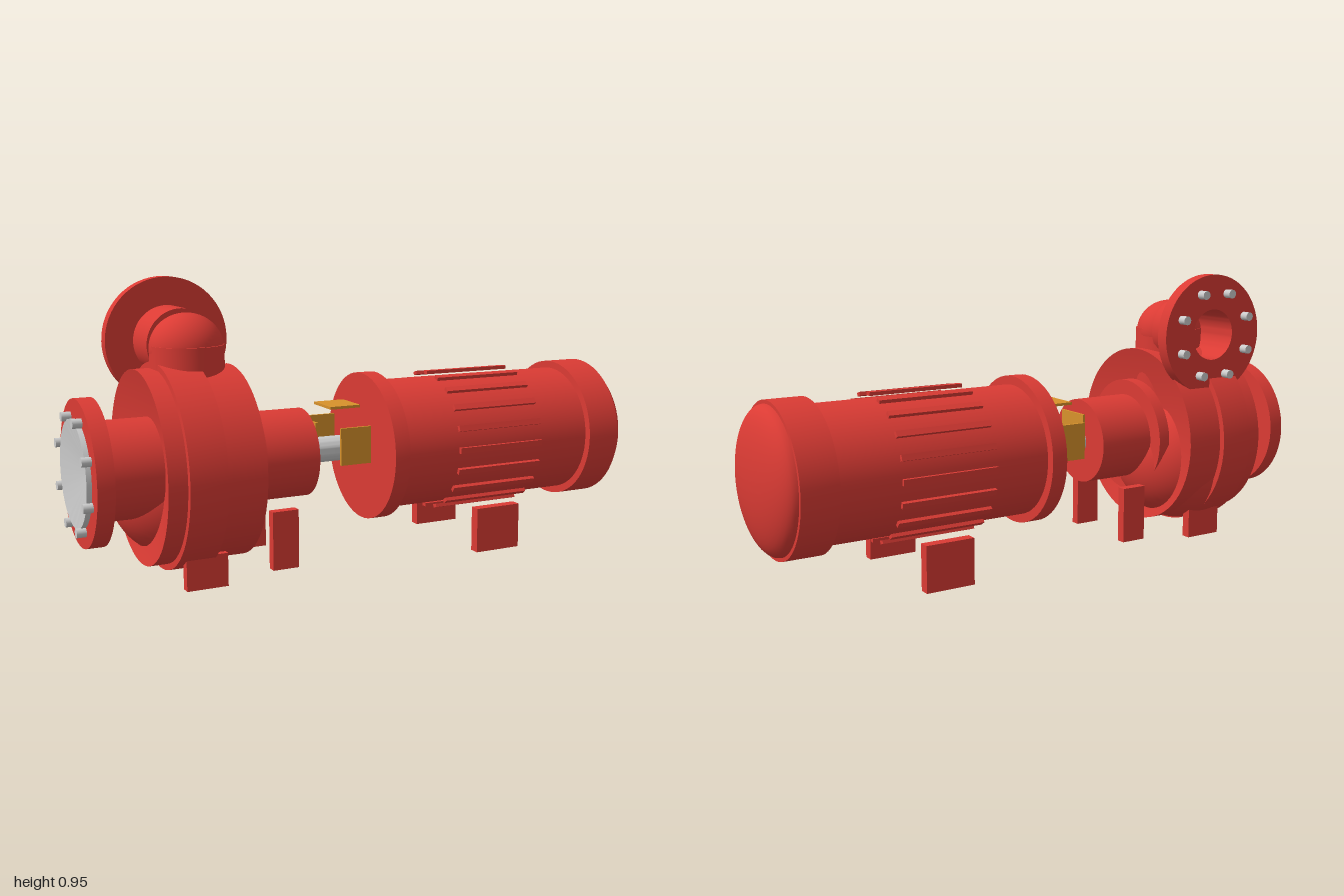
import * as THREE from 'three';
import { toCreasedNormals } from 'three/addons/utils/BufferGeometryUtils.js';

const AXIS = 0.37; // height of the shaft line
const PIPE_X = -0.61, PIPE_Y = 0.745;

export function createModel() {
  const model = new THREE.Group();
  model.name = 'motorPump';

  const paint = new THREE.MeshStandardMaterial({ color: 0xdb3b34, side: THREE.DoubleSide });
  paint.name = 'red paint';
  const steel = new THREE.MeshStandardMaterial({ color: 0xcccccc, side: THREE.DoubleSide });
  steel.name = 'bare steel';
  const yellow = new THREE.MeshStandardMaterial({ color: 0xd8922b, side: THREE.DoubleSide });
  yellow.name = 'guard yellow';

  function add(name, geometry, material, x = 0, y = 0, z = 0, parent = model) {
    const mesh = new THREE.Mesh(geometry, material);
    mesh.name = name;
    mesh.position.set(x, y, z);
    parent.add(mesh);
    return mesh;
  }
  // Box given by its limits on each axis
  function box(name, material, [x0, x1], [y0, y1], [z0, z1]) {
    return add(name, new THREE.BoxGeometry(x1 - x0, y1 - y0, z1 - z0), material,
      (x0 + x1) / 2, (y0 + y1) / 2, (z0 + z1) / 2);
  }
  // Profile of [radius, position] pairs, crease-shaded
  function lathe(profile) {
    const points = profile.map(([r, h]) => new THREE.Vector2(r, h));
    return toCreasedNormals(new THREE.LatheGeometry(points, 64), 0.6);
  }
  // Turned part on the shaft line
  function turned(name, material, profile) {
    const mesh = add(name, lathe(profile), material, 0, AXIS, 0);
    mesh.rotation.z = -Math.PI / 2;
    return mesh;
  }
  const drum = (name, material, x0, x1, r) =>
    turned(name, material, [[0, x0], [r, x0], [r, x1], [0, x1]]);

  // Motor
  drum('motorFlange', paint, 0.005, 0.06, 0.252);
  drum('motorBody', paint, 0.06, 0.8, 0.222);
  const cap = [[0, 0.795], [0.247, 0.795], [0.247, 0.918], [0.235, 0.918]];
  for (let i = 1; i <= 12; i++) {
    const a = i / 12 * Math.PI / 2;
    cap.push([0.235 * Math.cos(a), 0.918 + 0.077 * Math.sin(a)]);
  }
  turned('motorEndCap', paint, cap);

  const fins = new THREE.Group();
  fins.name = 'coolingFins';
  fins.position.set(0.425, AXIS, 0);
  model.add(fins);
  const finGeometry = new THREE.BoxGeometry(0.33, 0.012, 0.02);
  for (let i = 0; i < 20; i++) {
    const a = i / 20 * Math.PI * 2;
    const fin = add('fin', finGeometry, paint, 0, 0.238 * Math.cos(a), 0.238 * Math.sin(a), fins);
    fin.rotation.x = a;
  }

  // Mounting feet, mirrored front to back
  for (const s of [-1, 1]) {
    const span = (a, b) => (s > 0 ? [a, b] : [-b, -a]);
    box('motorFoot', paint, [0.34, 0.51], [0.003, 0.157], span(0.19, 0.226));
    box('bearingFoot', paint, [-0.39, -0.3], [0.022, 0.215], span(0.125, 0.157));
    box('pumpFoot', paint, [-0.695, -0.56], [0.01, 0.117], span(0.168, 0.2));
    box('guardSide', yellow, [-0.14, -0.03], [0.34, 0.464], span(0.135, 0.144));
  }

  // Shaft and the rest of the coupling guard
  drum('shaft', steel, -0.24, 0.02, 0.043);
  box('guardTop', yellow, [-0.14, -0.03], [0.515, 0.524], [-0.065, 0.065]);
  box('guardEnd', yellow, [-0.196, -0.187], [0.36, 0.475], [-0.065, 0.065]);

  // Bearing housing
  drum('bearingHousing', paint, -0.54, -0.217, 0.147);
  drum('bearingFlange', paint, -0.462, -0.42, 0.2);

  // Volute: dished casing, raised band and the bulging scroll
  turned('voluteCasing', paint, [
    [0, -0.74], [0.16, -0.74], [0.31, -0.78], [0.31, -0.467], [0.16, -0.51], [0, -0.51],
  ]);
  drum('voluteBand', paint, -0.72, -0.6, 0.33);
  add('voluteScroll', new THREE.SphereGeometry(0.226, 48, 32), paint, -0.622, 0.28, -0.06)
    .scale.x = 1.03;

  // Suction inlet
  drum('inletNeck', paint, -0.92, -0.74, 0.158);
  turned('inletFlange', paint, [
    [0.16, -0.968], [0.232, -0.968], [0.232, -0.914], [0.15, -0.914],
  ]);
  turned('inletLiner', steel, [
    [0, -0.93], [0.165, -0.984], [0.17, -0.984], [0.17, -0.95],
  ]);

  // Discharge: riser, elbow and horizontal pipe towards the back
  add('dischargeRiser', new THREE.CylinderGeometry(0.118, 0.118, 0.38, 48), paint, PIPE_X, 0.56, 0);
  add('dischargeElbow', new THREE.SphereGeometry(0.112, 48, 32), paint, PIPE_X, 0.738, -0.003)
    .scale.x = 1.06;
  const outlet = add('dischargePipe', lathe([
    [0, 0.05], [0.115, 0.05], [0.115, 0.2], [0.208, 0.2], [0.208, 0.244],
    [0.088, 0.244], [0.088, 0.06], [0, 0.06],
  ]), paint, PIPE_X, PIPE_Y, 0);
  outlet.rotation.x = -Math.PI / 2;

  // Flange bolts
  const bolt = new THREE.CylinderGeometry(0.015, 0.015, 0.06, 16);
  for (let i = 0; i < 8; i++) {
    const a = (i + 0.5) / 8 * Math.PI * 2;
    const c = Math.cos(a), s = Math.sin(a);
    add('outletBolt', bolt, steel, PIPE_X + 0.152 * c, PIPE_Y + 0.152 * s, -0.245)
      .rotation.x = Math.PI / 2;
    add('inletBolt', bolt, steel, -0.968, AXIS + 0.182 * s, 0.182 * c)
      .rotation.z = Math.PI / 2;
  }
  return model;
}
